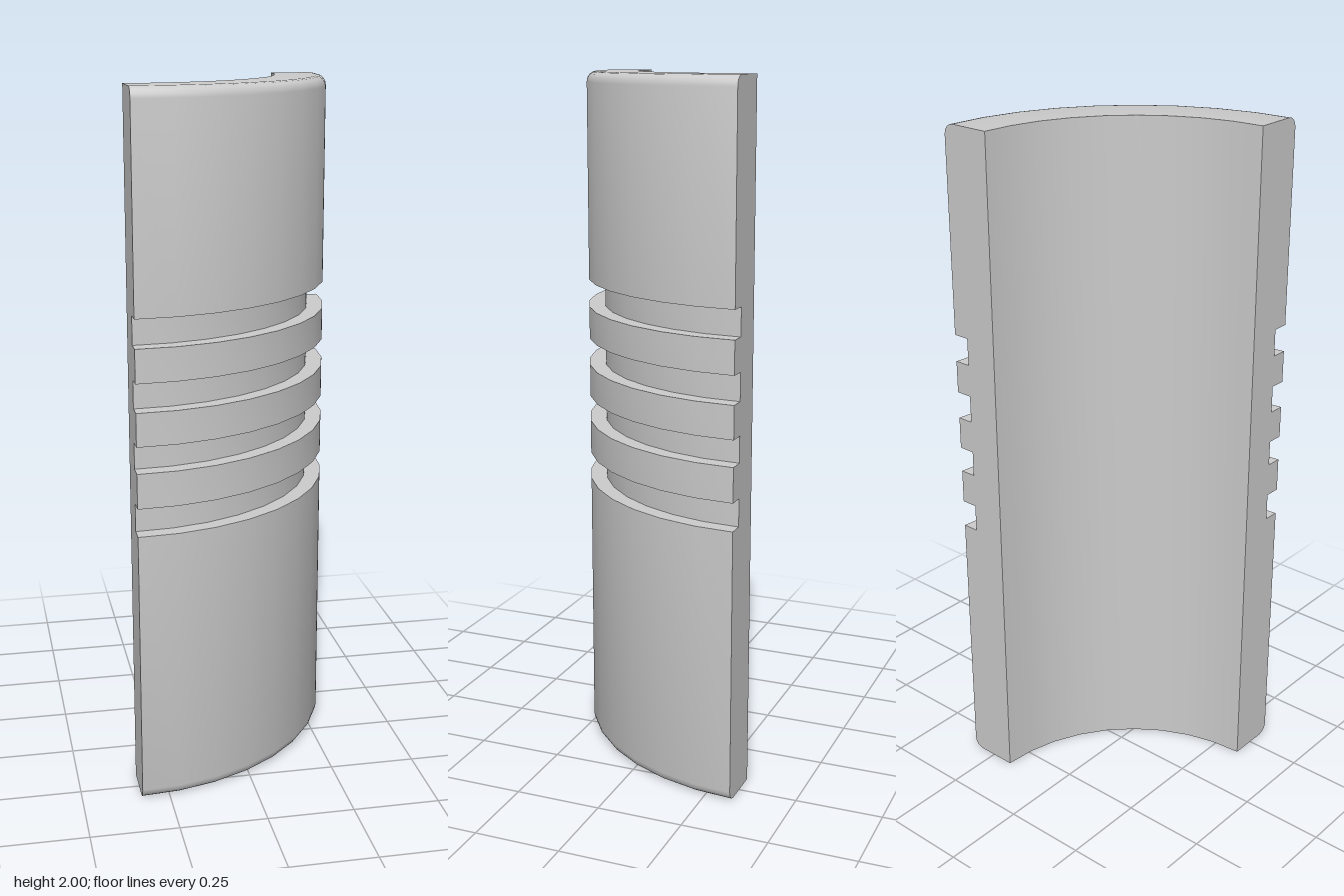
import * as THREE from 'three';
import { toCreasedNormals } from 'three/addons/utils/BufferGeometryUtils.js';

const INNER = 0.51, OUTER = 0.66, GROOVE = 0.612, HEIGHT = 2, ROUND = 0.03;
const GROOVES = [[0.8, 0.88], [0.98, 1.055], [1.15, 1.23], [1.325, 1.405]];

// Wall cross-section (radius, height), counter-clockwise, not repeated at the end
function wallProfile() {
  const p = [[INNER, 0]];
  const steps = 4;
  // rounded lower outer edge
  for (let i = 0; i <= steps; i++) {
    const a = (i / steps) * Math.PI / 2;
    p.push([OUTER - ROUND + ROUND * Math.sin(a), ROUND - ROUND * Math.cos(a)]);
  }
  // square grooves around the middle
  for (const [y0, y1] of GROOVES) {
    p.push([OUTER, y0], [GROOVE, y0], [GROOVE, y1], [OUTER, y1]);
  }
  // rounded upper outer edge
  for (let i = 0; i <= steps; i++) {
    const a = (i / steps) * Math.PI / 2;
    p.push([OUTER - ROUND + ROUND * Math.cos(a), HEIGHT - ROUND + ROUND * Math.sin(a)]);
  }
  p.push([INNER, HEIGHT]);
  return p.map(([r, y]) => new THREE.Vector2(r, y));
}

export function createModel() {
  const group = new THREE.Group();
  group.name = 'groovedQuarterSleeve';
  const material = new THREE.MeshStandardMaterial({ color: 0xcccccc });
  const add = (name, geometry) => {
    const mesh = new THREE.Mesh(geometry, material);
    mesh.name = name;
    mesh.position.set(-OUTER / 2, 0, -OUTER / 2);
    group.add(mesh);
  };

  const profile = wallProfile();

  // Quarter-turn wall
  const wall = new THREE.LatheGeometry([...profile, profile[0].clone()], 9, 0, Math.PI / 2);
  add('curvedWall', toCreasedNormals(wall, Math.PI / 6));

  // Flat cut faces at both ends of the turn
  const shape = new THREE.Shape(profile);
  add('rightCutFace', new THREE.ShapeGeometry(shape).rotateY(-Math.PI / 2));

  const back = new THREE.ShapeGeometry(shape);
  back.index.array.reverse();
  back.computeVertexNormals();
  add('backCutFace', back);

  return group;
}
